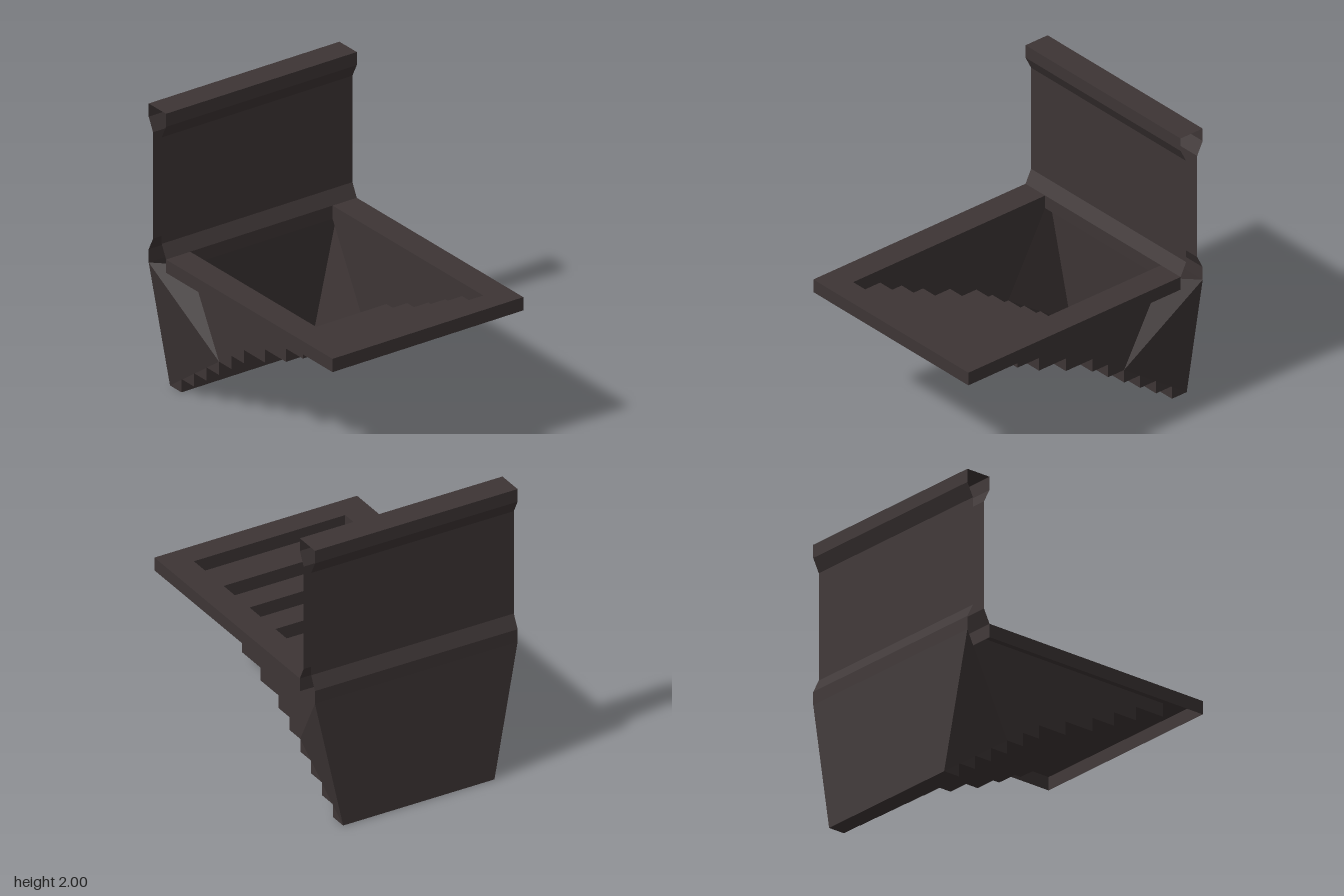
import * as THREE from 'three';

const stone = new THREE.MeshStandardMaterial({ color: 0x3d3535, side: THREE.DoubleSide });
stone.name = 'darkStone';

const OUT = 0.73, IN = 0.545;      // half depths of the rim and of the stairwell
const WALL = -0.76, BACK = -0.94;  // front and back planes of the wall
const RIM = 10 / 11;               // underside height of the rim

// Flat-shaded mesh from a list of triangles (each corner is [x, y, z])
function faces(name, triangles) {
  const geometry = new THREE.BufferGeometry();
  geometry.setAttribute('position', new THREE.Float32BufferAttribute(triangles.flat(2), 3));
  geometry.computeVertexNormals();
  const mesh = new THREE.Mesh(geometry, stone);
  mesh.name = name;
  return mesh;
}

// Open strip following [x, y, halfDepth] points, spanning +z to -z
function ribbon(name, points) {
  const triangles = [];
  for (let i = 0; i + 1 < points.length; i++) {
    const [px, py, pz] = points[i], [qx, qy, qz] = points[i + 1];
    const a = [px, py, pz], b = [qx, qy, qz], c = [qx, qy, -qz], d = [px, py, -pz];
    triangles.push([a, b, c], [a, c, d]);
  }
  return faces(name, triangles);
}

// Flat outline mesh in the XY plane
function plate(name, points) {
  const shape = new THREE.Shape(points.map(([x, y]) => new THREE.Vector2(x, y)));
  const mesh = new THREE.Mesh(new THREE.ShapeGeometry(shape), stone);
  mesh.name = name;
  return mesh;
}

// Mirror triangles to the other side, keeping them facing outward
const mirrorZ = (tris) => tris.map((t) => t.map(([x, y, z]) => [x, y, -z]).reverse());

export function createModel() {
  const model = new THREE.Group();
  model.name = 'sunkenStairway';

  // Staircase: a thin folded shell of treads and risers
  const risers = [-0.85, -0.72, -0.59, -0.46, -0.33, -0.2, 0.015, 0.235, 0.41, 0.585, 0.805];
  const outline = [[-0.97, 0]];
  risers.forEach((x, i) => outline.push([x, i / 11], [x, (i + 1) / 11]));
  model.add(ribbon('stairs', outline.map(([x, y]) => [x, y, IN])));

  // Vertical stairwell sides, above the fourth step
  const sideOutline = [[WALL, RIM], ...outline.slice(8), [WALL, 1]];
  for (const s of [1, -1]) {
    const side = plate(s > 0 ? 'frontStairSide' : 'backStairSide', sideOutline);
    side.position.z = s * IN;
    model.add(side);
  }

  // Step ends and splayed corners at the foot of the stairs
  const foot = [];
  for (let i = 0; i < 4; i++) {
    foot.push([0, 1, 2].map((k) => [...outline[2 * i + k], IN]));
  }
  const A = [BACK, RIM, OUT], B = [WALL, RIM, IN], C = [...outline[8], IN], D = [-0.97, 0, IN];
  foot.push([A, C, B], [A, D, C]);
  model.add(faces('frontFootSide', foot), faces('backFootSide', mirrorZ(foot)));

  // Sloping wall behind the foot of the stairs
  model.add(ribbon('footBackWall', [[-0.97, 0, IN], [BACK, RIM, OUT]]));

  // Rim: flat U-shaped top with a skirt on three sides
  const top = plate('rimTop', [
    [WALL, -OUT], [0.97, -OUT], [0.97, OUT], [WALL, OUT],
    [WALL, IN], [0.805, IN], [0.805, -IN], [WALL, -IN],
  ]);
  top.rotation.x = -Math.PI / 2;
  top.position.y = 1;
  model.add(top, ribbon('rimEnd', [[0.97, 1, OUT], [0.97, RIM, OUT]]));
  const skirt = [
    [[WALL, RIM, OUT], [0.97, RIM, OUT], [0.97, 1, OUT]],
    [[WALL, RIM, OUT], [0.97, 1, OUT], [WALL, 1, OUT]],
  ];
  model.add(faces('frontRimSkirt', skirt), faces('backRimSkirt', mirrorZ(skirt)));

  // Upright wall: open-ended shell with flared base and cap
  const back = [[BACK, RIM], [BACK, 1], [-0.895, 1.09], [-0.895, 1.82], [BACK, 1.91], [BACK, 2]];
  const front = back.map(([x, y]) => [WALL + BACK - x, y]).reverse();
  model.add(ribbon('uprightWall', [...back, ...front].map(([x, y]) => [x, y, OUT])));

  return model;
}
